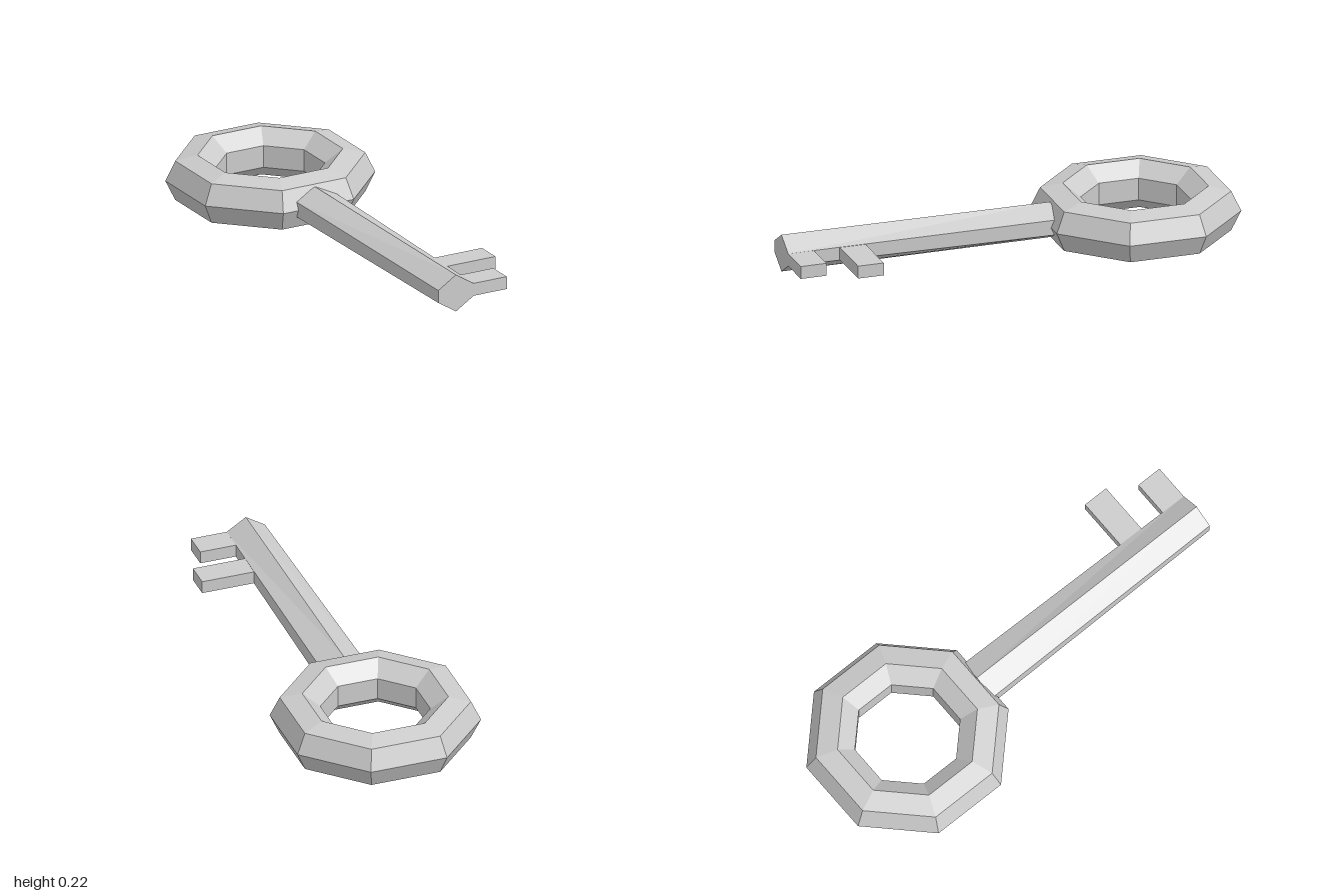
import * as THREE from 'three';

const MID = 0.11; // height of the key's middle plane

export function createModel() {
  const group = new THREE.Group();
  const material = new THREE.MeshStandardMaterial({ color: 0xcccccc, flatShading: true });
  const add = (name, geometry, x, y, z) => {
    const mesh = new THREE.Mesh(geometry, material);
    mesh.name = name;
    mesh.position.set(x, y, z);
    group.add(mesh);
  };

  // Octagonal bow with a seven-sided section
  const bow = new THREE.TorusGeometry(0.3345, 0.1128, 7, 8);
  bow.rotateZ(Math.PI / 8).rotateX(Math.PI / 2);
  add('bow', bow, 0, MID, -0.587);

  // Six-sided shaft, slightly wider and flatter towards the bow
  const zBack = -0.205, zFront = 1;
  const section = [[0, 0.083], [-0.086, 0.028], [-0.086, -0.028], [0, -0.083], [0.086, -0.028], [0.086, 0.028]];
  const shape = new THREE.Shape(section.map(([x, y]) => new THREE.Vector2(x, y)));
  const shaft = new THREE.ExtrudeGeometry(shape, { depth: zFront - zBack, bevelEnabled: false });
  const p = shaft.attributes.position;
  for (let i = 0; i < p.count; i++) {
    if (p.getZ(i) > 0.01) continue;
    const y = p.getY(i);
    p.setX(i, p.getX(i) * 1.14);
    p.setY(i, y * (Math.abs(y) > 0.05 ? 0.96 : 1.2));
  }
  shaft.computeVertexNormals();
  add('shaft', shaft, 0, MID, zBack);

  // Two teeth: outer end in x, back and front in z
  for (const [name, tip, z0, z1] of [['longTooth', 0.323, 0.655, 0.77], ['shortTooth', 0.247, 0.885, 1]]) {
    const root = 0.06;
    add(name, new THREE.BoxGeometry(tip - root, 0.056, z1 - z0), (tip + root) / 2, MID, (z0 + z1) / 2);
  }

  return group;
}
